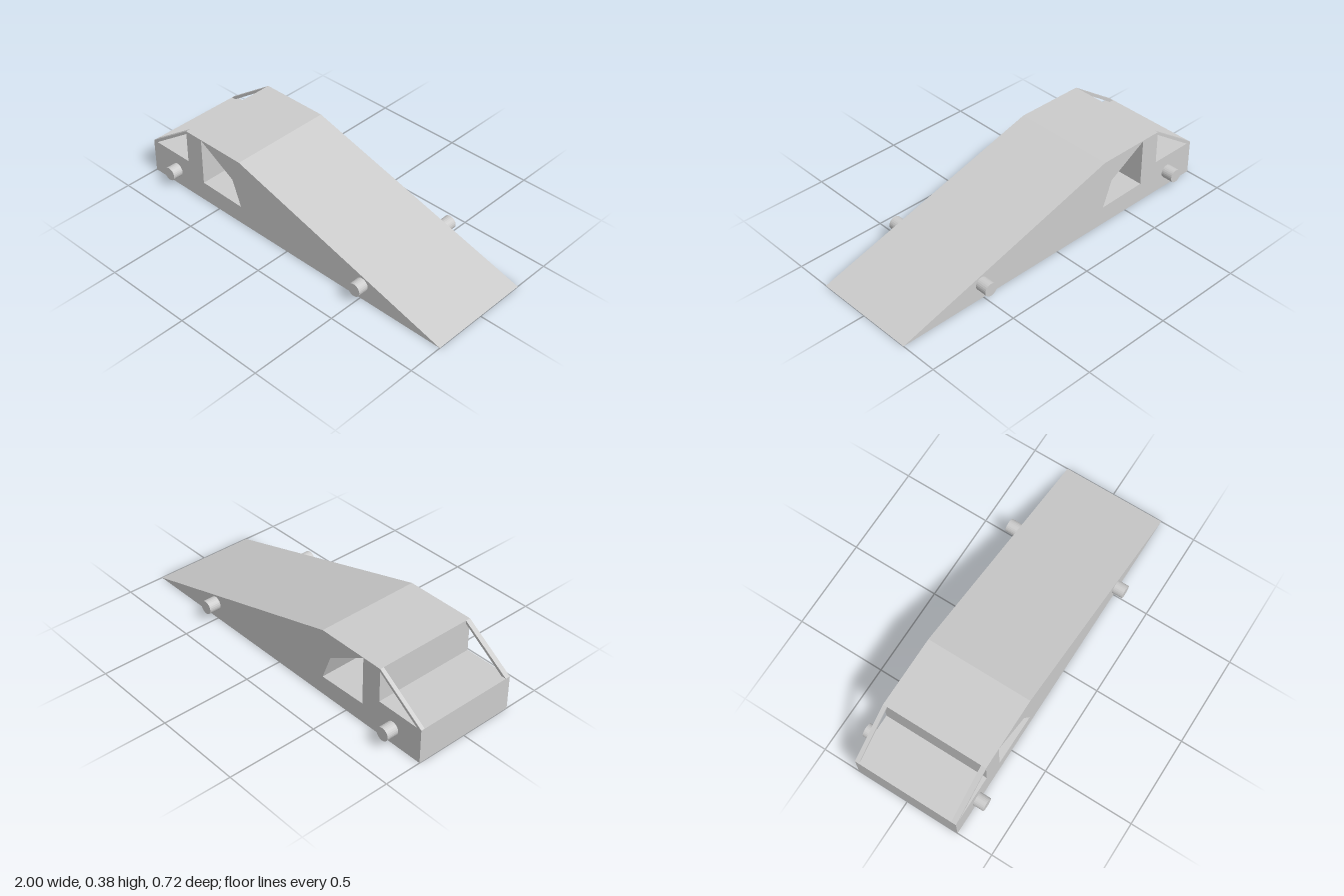
import * as THREE from 'three';

const material = new THREE.MeshStandardMaterial({ color: 0xcccccc, flatShading: true });
const Z_BACK = -0.291, Z_FRONT = 0.299;

const points = (list) => list.map(([x, y]) => new THREE.Vector2(x, y));

function part(name, geometry, parent) {
  const mesh = new THREE.Mesh(geometry, material);
  mesh.name = name;
  parent.add(mesh);
  return mesh;
}

// Side profile pushed along z between two depths
function slab(shape, z0, z1) {
  return new THREE.ExtrudeGeometry(shape, { depth: z1 - z0, bevelEnabled: false }).translate(0, 0, z0);
}

// Cylinder between two points
function rod(a, b, radius, sides) {
  const dir = b.clone().sub(a);
  const geometry = new THREE.CylinderGeometry(radius, radius, dir.length(), sides);
  geometry.applyQuaternion(new THREE.Quaternion().setFromUnitVectors(new THREE.Vector3(0, 1, 0), dir.normalize()));
  const mid = a.clone().add(b).multiplyScalar(0.5);
  return geometry.translate(mid.x, mid.y, mid.z);
}

export function createModel() {
  const model = new THREE.Group();
  model.name = 'wedgeCar';

  // Wedge body with a stepped rear deck and a cabin opening right through
  const profile = new THREE.Shape(points([
    [-1, 0], [1, 0], [-0.33, 0.385], [-0.725, 0.385], [-0.725, 0.195], [-1, 0.195],
  ]));
  profile.holes.push(new THREE.Path(points([
    [-0.612, 0.382], [-0.385, 0.25], [-0.33, 0.105], [-0.612, 0.112],
  ])));
  part('body', slab(profile, Z_BACK, Z_FRONT), model);

  // Sloping struts on both sides of the rear deck
  const strut = new THREE.Shape(points([
    [-1, 0.195], [-0.972, 0.195], [-0.725, 0.368], [-0.725, 0.385],
  ]));
  part('rearStrutLeft', slab(strut, Z_FRONT - 0.028, Z_FRONT), model);
  part('rearStrutRight', slab(strut, Z_BACK, Z_BACK + 0.022), model);

  // Axles running across the body
  for (const [name, x] of [['rearAxle', -0.818], ['frontAxle', 0.51]]) {
    part(name, rod(new THREE.Vector3(x, 0.094, -0.358), new THREE.Vector3(x, 0.094, 0.358), 0.037, 24), model);
  }

  // Steering column and wheel inside the cabin
  const hub = new THREE.Vector3(-0.457, 0.215, 0);
  part('steeringColumn', rod(hub, new THREE.Vector3(-0.325, 0.112, 0), 0.015, 16), model);
  const wheel = new THREE.Group();
  wheel.name = 'steeringWheel';
  wheel.position.copy(hub);
  wheel.rotation.z = -0.34;
  model.add(wheel);
  part('wheelRim', new THREE.TorusGeometry(0.062, 0.007, 8, 24).rotateY(Math.PI / 2), wheel);
  part('wheelSpoke', new THREE.BoxGeometry(0.01, 0.02, 0.124), wheel);

  return model;
}
